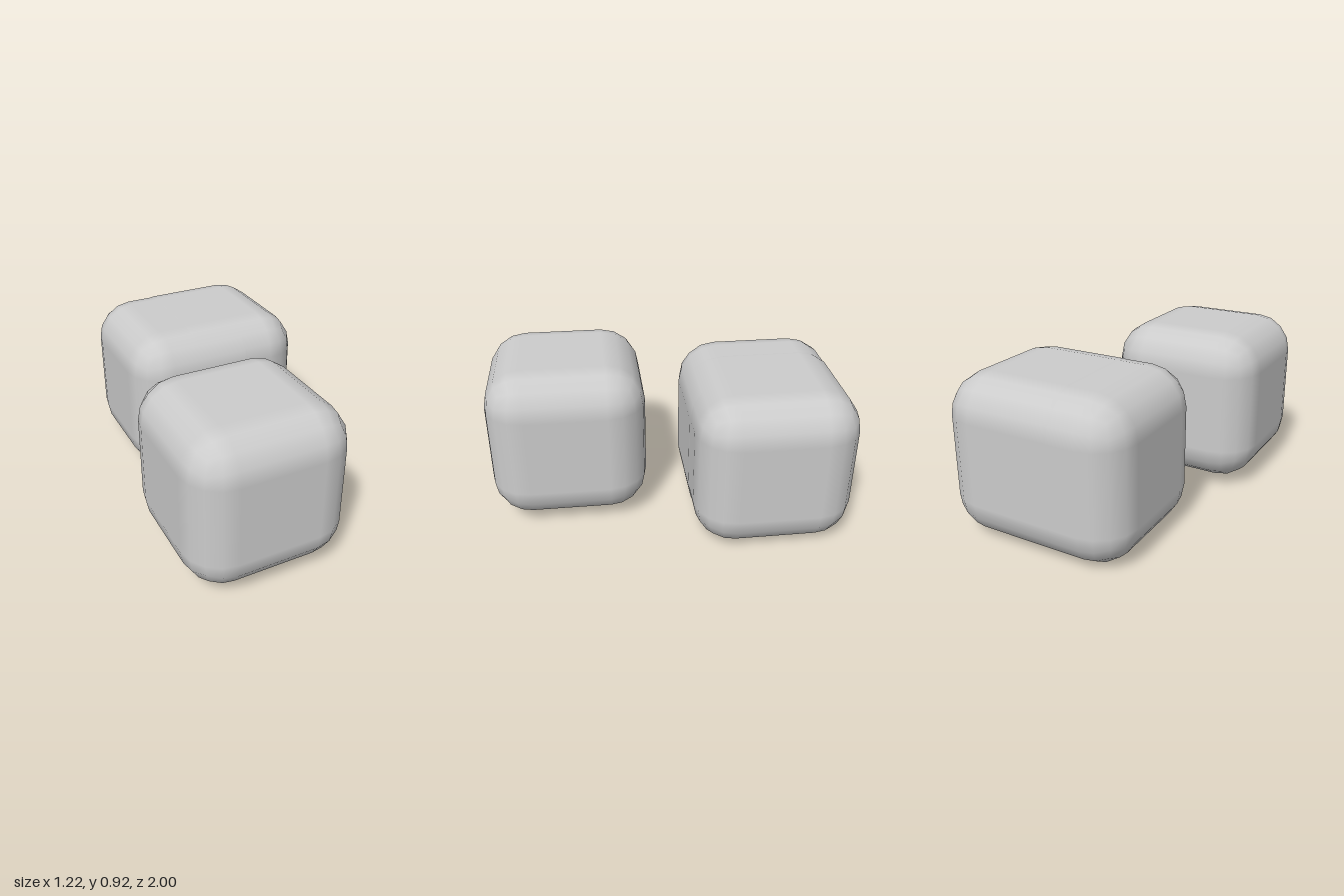
import * as THREE from 'three';

const SIZE = 0.885, RADIUS = 0.218, STEPS = 2; // two bevel steps per face, four per rounded edge

// Cube grid bent so that every edge is an evenly stepped arc and every corner a sphere patch
function roundedCube() {
  const n = STEPS * 2 + 1;
  const geo = new THREE.BoxGeometry(n, n, n, n, n, n);
  const pos = geo.attributes.position, nor = geo.attributes.normal;
  const flat = SIZE / 2 - RADIUS;
  const dir = new THREE.Vector3(), sign = new THREE.Vector3();
  const bend = (v) => Math.sign(v) * Math.tan(((Math.abs(v) - 0.5) / STEPS) * Math.PI / 4);
  for (let i = 0; i < pos.count; i++) {
    dir.fromBufferAttribute(pos, i);
    sign.set(Math.sign(dir.x), Math.sign(dir.y), Math.sign(dir.z));
    dir.set(bend(dir.x), bend(dir.y), bend(dir.z)).normalize();
    nor.setXYZ(i, dir.x, dir.y, dir.z);
    sign.multiplyScalar(flat).addScaledVector(dir, RADIUS);
    pos.setXYZ(i, sign.x, sign.y, sign.z);
  }
  return geo;
}

export function createModel() {
  const group = new THREE.Group();
  const material = new THREE.MeshStandardMaterial({ color: 0xcccccc });
  const geometry = roundedCube();

  // One free block in front, two overlapping blocks behind
  const blocks = [
    ['frontBlock', -0.172, 0.483, 0.557],
    ['backRightBlock', -0.003, 0.443, -0.555],
    ['backLeftBlock', 0.168, 0.446, -0.558],
  ];
  for (const [name, x, y, z] of blocks) {
    const mesh = new THREE.Mesh(geometry, material);
    mesh.name = name;
    mesh.position.set(x, y, z);
    group.add(mesh);
  }
  return group;
}
